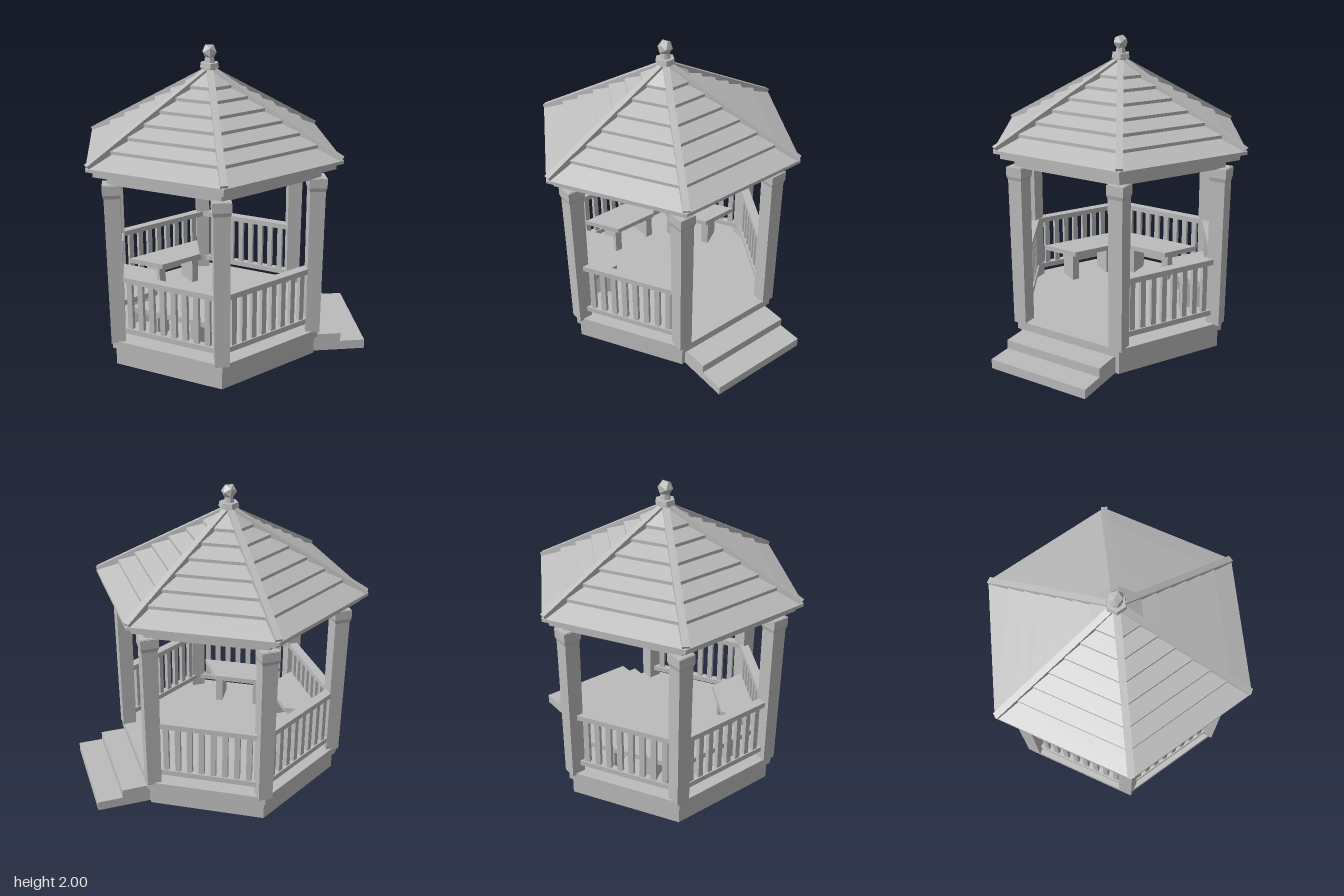
import * as THREE from 'three';

const grey = new THREE.MeshStandardMaterial({ color: 0xbcbcbc, flatShading: true });
grey.name = 'painted wood grey';

const CX = -0.11; // axis of the hexagonal pavilion
const STEP = Math.PI / 3;

function add(parent, name, geometry, x = 0, y = 0, z = 0) {
  const mesh = new THREE.Mesh(geometry, grey);
  mesh.name = name;
  mesh.position.set(x, y, z);
  parent.add(mesh);
  return mesh;
}

const box = (w, h, d) => new THREE.BoxGeometry(w, h, d);

// Upright prism between two heights
function prism(parent, name, rTop, rBottom, y0, y1, sides = 6) {
  return add(parent, name, new THREE.CylinderGeometry(rTop, rBottom, y1 - y0, sides), 0, (y0 + y1) / 2, 0);
}

// Six-sided turned profile of [radius, height] points
const hexLathe = (points) => new THREE.LatheGeometry(points.map(([r, y]) => new THREE.Vector2(r, y)), 6);

// Group whose local +x points outward at the given angle
function spoke(parent, name, angle) {
  const g = new THREE.Group();
  g.name = name;
  g.rotation.y = angle;
  parent.add(g);
  return g;
}

// Square tapered column
function taper(top, bottom, h) {
  const g = new THREE.CylinderGeometry(top * Math.SQRT1_2, bottom * Math.SQRT1_2, h, 4);
  return g.rotateY(Math.PI / 4);
}

function addRailing(parent, angle) {
  const g = spoke(parent, 'railing', angle);
  add(g, 'topRail', box(0.06, 0.036, 0.7), 0.62, 0.613, 0);
  add(g, 'bottomRail', box(0.045, 0.036, 0.7), 0.62, 0.253, 0);
  for (let i = 0; i < 8; i++) {
    add(g, 'baluster', box(0.028, 0.33, 0.035), 0.62, 0.433, (i - 3.5) * 0.077);
  }
}

function addBench(parent, angle) {
  const g = spoke(parent, 'bench', angle);
  const s = new THREE.Shape([[0.37, -0.16], [0.6, -0.29], [0.6, 0.29], [0.37, 0.16]]
    .map(([x, y]) => new THREE.Vector2(x, y)));
  const seat = new THREE.ExtrudeGeometry(s, { depth: 0.035, bevelEnabled: false }).rotateX(-Math.PI / 2);
  add(g, 'benchSeat', seat, 0, 0.373, 0);
  for (const z of [-0.14, 0.14]) add(g, 'benchLeg', box(0.15, 0.2, 0.05), 0.48, 0.275, z);
}

export function createModel() {
  const model = new THREE.Group();
  model.name = 'gazebo';
  const body = new THREE.Group();
  body.name = 'pavilion';
  body.position.x = CX;
  model.add(body);

  // Plinth, deck and entrance steps
  prism(body, 'plinth', 0.75, 0.75, 0, 0.125);
  prism(body, 'deck', 0.775, 0.775, 0.125, 0.18);
  add(model, 'upperStep', box(0.225, 0.122, 0.7), 0.6125, 0.061, 0);
  add(model, 'lowerStep', box(0.19, 0.063, 0.7), 0.795, 0.0315, 0);

  // Posts with flared caps, square to the main axes
  for (let i = 0; i < 6; i++) {
    const a = STEP * (i + 0.5);
    const x = 0.728 * Math.cos(a), z = 0.728 * Math.sin(a);
    add(body, 'post', taper(0.1, 0.092, 1.07), x, 0.705, z);
    add(body, 'postCapFlare', taper(0.114, 0.1, 0.025), x, 1.165, z);
    add(body, 'postCap', box(0.114, 0.06, 0.114), x, 1.2075, z);
  }

  // Railings on the five closed sides, benches along the far three
  for (let i = 1; i < 6; i++) addRailing(body, STEP * i);
  for (let i = 2; i < 5; i++) addBench(body, STEP * i);

  // Ring beam, ceiling board and ceiling spokes
  add(body, 'ringBeam', hexLathe([[0.67, 1.235], [0.757, 1.235], [0.757, 1.305], [0.67, 1.305], [0.67, 1.235]]));
  prism(body, 'ceiling', 0.85, 0.85, 1.3, 1.345);
  prism(body, 'ceilingHub', 0.085, 0.085, 1.22, 1.3);
  for (let i = 0; i < 6; i++) {
    const g = spoke(body, 'ceilingSpoke', STEP * (i + 0.5));
    add(g, 'spokeBeam', box(0.66, 0.05, 0.04), 0.37, 1.275, 0);
  }

  // Overlapping roof boards as one stepped profile
  const rows = [[0.775, 1.34], [0.645, 1.425], [0.545, 1.49], [0.445, 1.555], [0.345, 1.62], [0.245, 1.685], [0.15, 1.745]];
  const profile = [[0.6, 1.335]];
  rows.forEach(([a, y], i) => {
    const r = a / Math.cos(Math.PI / 6);
    profile.push([r, y], [r, y + 0.02]);
    const next = rows[i + 1];
    if (next) profile.push([(next[0] - 0.015) / Math.cos(Math.PI / 6), next[1] + 0.002]);
  });
  profile.push([0.02, 1.85], [0, 1.85]);
  add(body, 'roofBoards', hexLathe(profile));

  // Hip ridges running from the peak to the eaves
  const slope = Math.atan(0.553);
  for (let i = 0; i < 6; i++) {
    const g = spoke(body, 'hipRidge', STEP * (i + 0.5));
    const ridge = add(g, 'ridgeBeam', box(0.97, 0.05, 0.042), 0.455, 1.592, 0);
    ridge.rotation.z = -slope;
  }

  // Finial
  prism(body, 'finialBase', 0.045, 0.045, 1.8, 1.86);
  prism(body, 'finialCollar', 0.06, 0.066, 1.858, 1.89);
  prism(body, 'finialNeck', 0.026, 0.034, 1.89, 1.935, 8);
  add(body, 'finialBall', new THREE.IcosahedronGeometry(0.05, 0), 0, 1.957, 0);

  return model;
}
